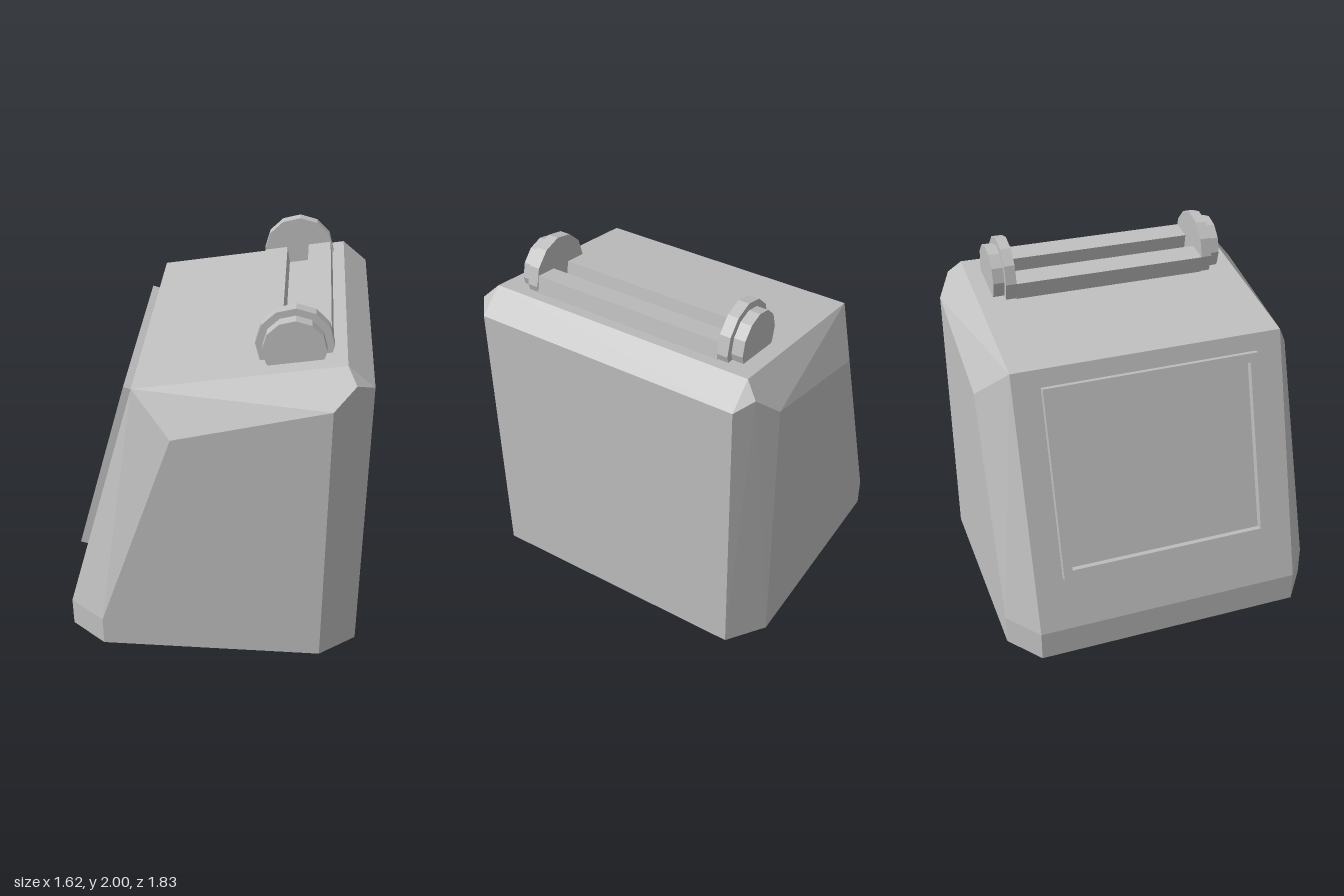
import * as THREE from 'three';
import { ConvexGeometry } from 'three/addons/geometries/ConvexGeometry.js';

export function createModel() {
  const model = new THREE.Group();
  model.name = 'console';
  const grey = new THREE.MeshStandardMaterial({ color: 0xc0c0c0, flatShading: true });
  grey.name = 'grey';

  const add = (name, geometry, parent = model) => {
    const mesh = new THREE.Mesh(geometry, grey);
    mesh.name = name;
    parent.add(mesh);
    return mesh;
  };

  // Body: inner and outer side profiles plus the cut rear corner, mirrored in z
  const profiles = [
    [0.765, [[-0.81, 0], [-0.81, 0.17], [-0.41, 1.595], [0.67, 1.775], [0.81, 1.657], [0.81, 0]]],
    [0.915, [[-0.61, 0], [-0.61, 0.17], [-0.2, 1.392], [0.607, 1.595], [0.607, 0]]],
    [0.837, [[0.717, 1.702]]],
  ];
  const points = [];
  for (const [z, outline] of profiles)
    for (const [x, y] of outline)
      for (const side of [-1, 1]) points.push(new THREE.Vector3(x, y, side * z));
  add('body', new ConvexGeometry(points));

  // Raised rectangular frame lying on the sloped face
  const w = 0.61, h = 0.538, border = 0.05;
  const rectangle = (Type, a, b) => new Type([[-a, -b], [a, -b], [a, b], [-a, b]]
    .map(([x, y]) => new THREE.Vector2(x, y)));
  const shape = rectangle(THREE.Shape, w, h);
  shape.holes.push(rectangle(THREE.Path, w - border, h - border));
  const frame = add('panelFrame', new THREE.ExtrudeGeometry(shape, { depth: 0.05, bevelEnabled: false }));
  const up = new THREE.Vector3(0.4, 1.425, 0).normalize();
  const across = new THREE.Vector3(0, 0, 1);
  const out = across.clone().cross(up);
  frame.quaternion.setFromRotationMatrix(new THREE.Matrix4().makeBasis(across, up, out));
  frame.position.set(-0.584, 0.983, 0).addScaledVector(out, -0.01);

  // Handle: stepped end discs joined by two bars that follow the sloped top
  const handle = new THREE.Group();
  handle.name = 'handle';
  model.add(handle);
  const disc = (name, radius, z0, z1, side) => {
    const geometry = new THREE.CylinderGeometry(radius, radius, z1 - z0, 12).rotateX(Math.PI / 2);
    add(name, geometry, handle).position.set(0.405, 1.8, side * (z0 + z1) / 2);
  };
  for (const side of [-1, 1]) {
    disc('endDisc', 0.2, 0.552, 0.612, side);
    disc('endCap', 0.162, 0.61, 0.675, side);
  }
  for (const [x, y] of [[0.282, 1.749], [0.532, 1.79]]) {
    const bar = add('handleBar', new THREE.BoxGeometry(0.13, 0.12, 1.11), handle);
    bar.position.set(x, y, 0);
    bar.rotation.z = Math.atan2(0.18, 1.08);
  }

  return model;
}
